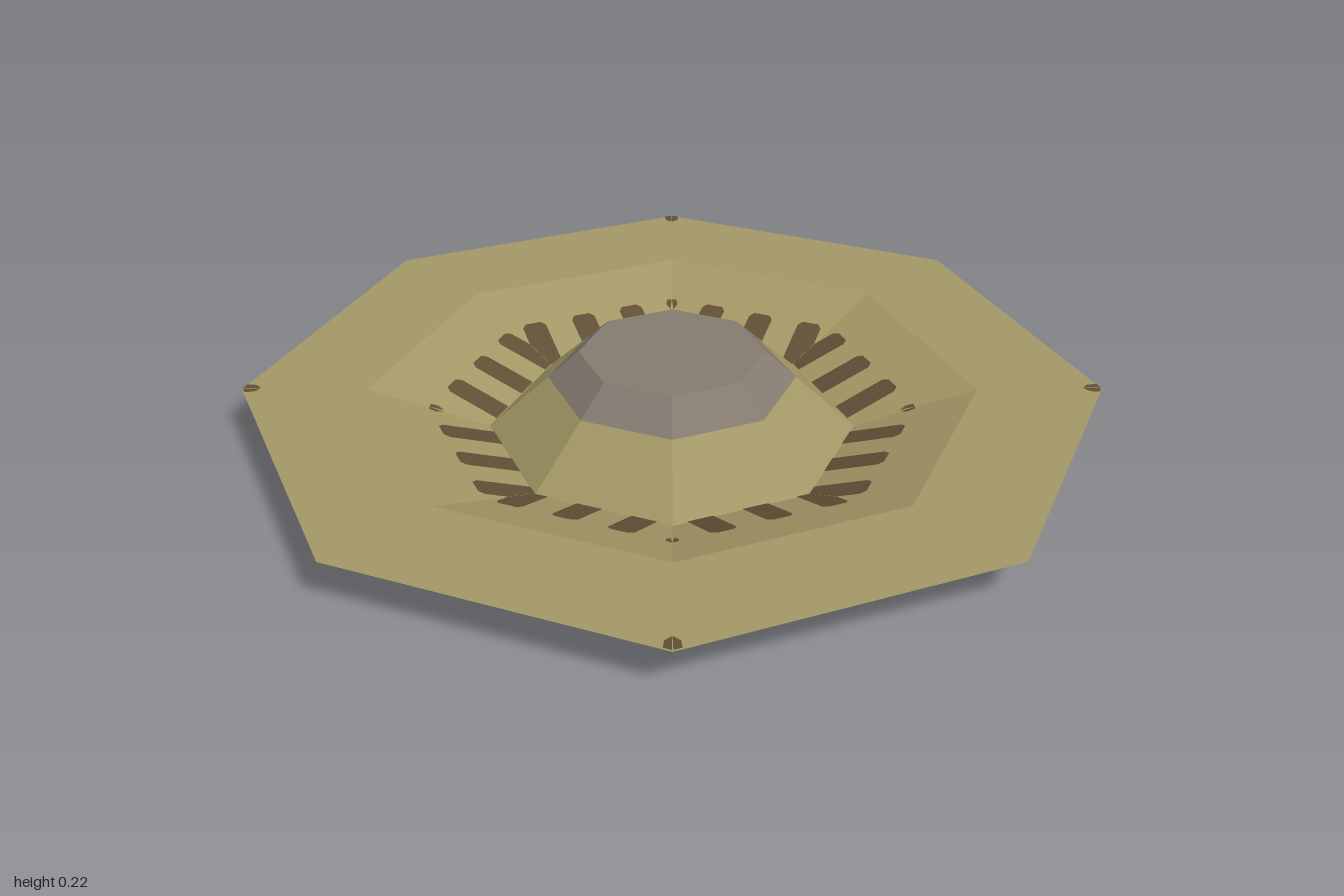
import * as THREE from 'three';

const flat = (name, color) => new THREE.MeshStandardMaterial({ name, color, flatShading: true, side: THREE.DoubleSide });

// Apothems and heights of the octagonal sheet
const RIM = 1, PAN = 0.71, BASE = 0.428, PAINT = 0.287, TOP = 0.215;
const PAN_Y = 0.107, PAINT_Y = 0.142, TOP_Y = 0.215;
const corner = (apothem) => apothem / Math.cos(Math.PI / 8);

export function createModel() {
  const model = new THREE.Group();
  const tan = flat('tan', 0xa39765);
  const grey = flat('grey', 0x847a70);
  const brown = flat('brown', 0x604f35);

  const add = (name, geometry, material, y = 0) => {
    const mesh = new THREE.Mesh(geometry, material);
    mesh.name = name;
    mesh.position.y = y;
    model.add(mesh);
  };
  // Sloping octagonal wall between two apothems
  const wall = (name, top, bottom, y0, y1, material) => add(name,
    new THREE.CylinderGeometry(corner(top), corner(bottom), y1 - y0, 8, 1, true, Math.PI / 8),
    material, (y0 + y1) / 2);

  // Flat brim, sunken pan, raised centre and cap
  add('brim', new THREE.RingGeometry(corner(PAN), corner(RIM), 8, 1, Math.PI / 8).rotateX(-Math.PI / 2), tan, PAN_Y);
  wall('pan', PAN, BASE, 0, PAN_Y, tan);
  wall('centreCone', PAINT, BASE, 0, PAINT_Y, tan);
  wall('greyCone', TOP, PAINT, PAINT_Y, TOP_Y, grey);
  add('cap', new THREE.CircleGeometry(corner(TOP), 8, Math.PI / 8).rotateX(-Math.PI / 2), grey, TOP_Y);

  // Painted patch on one octagon side: points are [along side, distance out]
  const patch = (name, points, side, flip, lift) => {
    const a = side * Math.PI / 4, c = Math.cos(a), s = Math.sin(a);
    const shape = new THREE.Shape(points.map(([t, r]) => new THREE.Vector2(t * flip, r)));
    const geometry = new THREE.ShapeGeometry(shape);
    const p = geometry.attributes.position;
    for (let i = 0; i < p.count; i++) {
      const t = p.getX(i), r = p.getY(i);
      const y = Math.min(PAN_Y, (r - BASE) / (PAN - BASE) * PAN_Y);
      p.setXYZ(i, t * c + r * s, y + lift, t * s - r * c);
    }
    // Keep the faces turned upward
    geometry.computeVertexNormals();
    if (geometry.attributes.normal.getY(0) < 0) {
      const idx = geometry.index;
      for (let i = 0; i < idx.count; i += 3) {
        const k = idx.getX(i);
        idx.setX(i, idx.getX(i + 1));
        idx.setX(i + 1, k);
      }
      geometry.computeVertexNormals();
    }
    add(name, geometry, brown);
  };

  const slot = (t) => [[t - 0.033, BASE], [t + 0.033, BASE], [t + 0.033, 0.56],
    [t + 0.022, 0.573], [t - 0.022, 0.573], [t - 0.033, 0.56]];
  const cornerSlot = [[0.143, BASE], [0.177, BASE], [0.209, 0.506], [0.209, 0.56],
    [0.198, 0.573], [0.154, 0.573], [0.143, 0.56]];
  const slotTip = [[-0.217, 0.535], [-0.213, 0.555], [-0.222, 0.57], [-0.235, 0.568]];
  const rimSpot = [[-0.412, 0.998], [-0.392, 0.998], [-0.385, 0.975], [-0.395, 0.955]];

  // Slots and spots, mirrored on every second side, on both faces of the sheet
  for (let side = 0; side < 8; side++) {
    const flip = side % 2 ? -1 : 1;
    for (const lift of [0.003, -0.003]) {
      patch('slot', slot(-0.107), side, flip, lift);
      patch('slot', slot(0.034), side, flip, lift);
      patch('cornerSlot', cornerSlot, side, flip, lift);
      patch('slotTip', slotTip, side, flip, lift);
      patch('rimSpot', rimSpot, side, flip, lift);
    }
  }
  return model;
}
